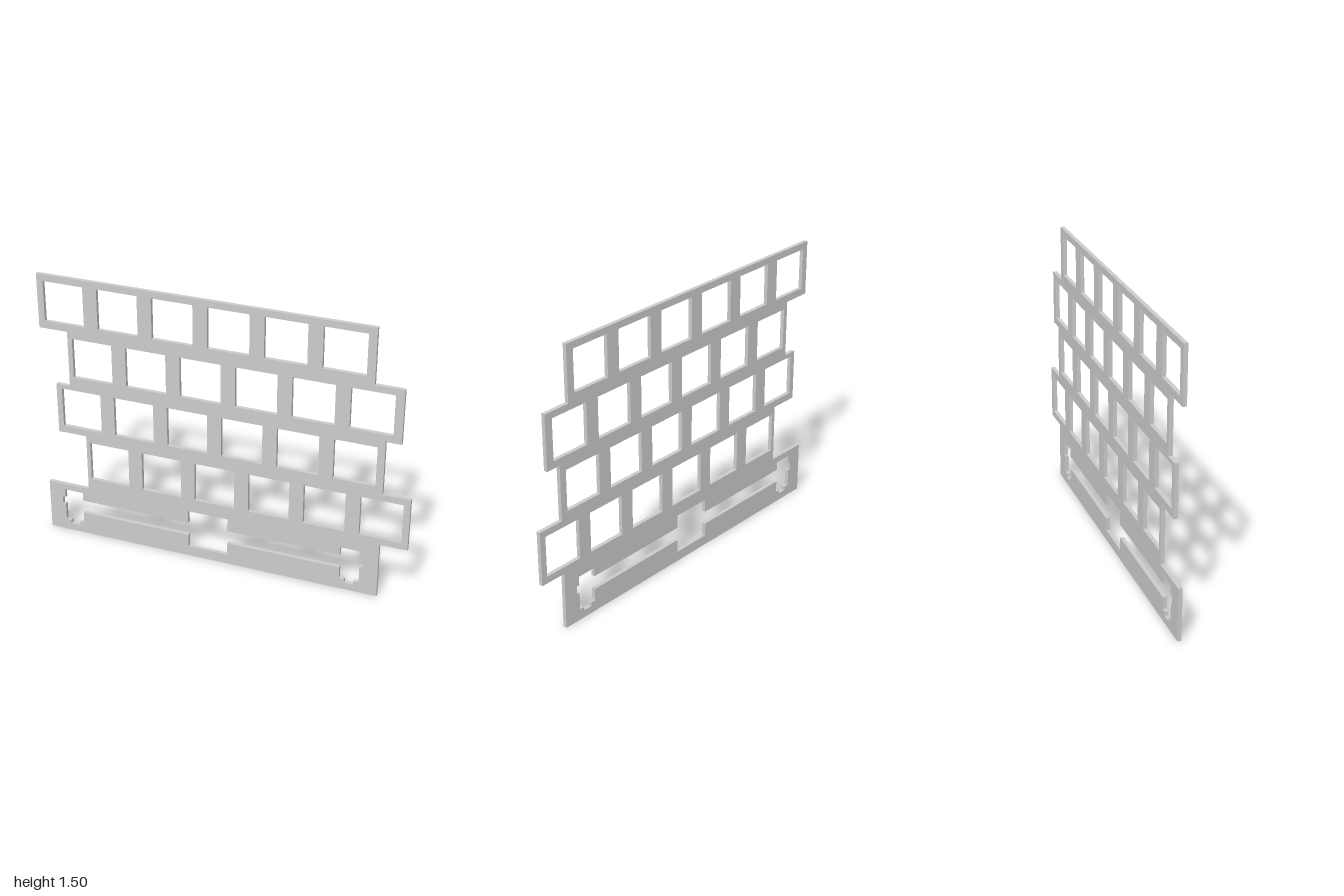
import * as THREE from 'three';

const THICKNESS = 0.021;
const PITCH = 0.2975; // distance between neighbouring key centres
const CUTOUT = 0.221; // side of a square switch cutout

// Closed path from corner points
const path = (points, Type = THREE.Path) =>
  new Type(points.map(([x, y]) => new THREE.Vector2(x, y)));

function squareHole(cx, cy) {
  const h = CUTOUT / 2;
  return path([[cx - h, cy - h], [cx - h, cy + h], [cx + h, cy + h], [cx + h, cy - h]]);
}

// Wide-key opening: centre square, connecting slot and a notched stabilizer pocket at each end
function wideKeyHole(cx, cy) {
  const h = CUTOUT / 2;
  const right = [
    [h, -h], [h, -0.038], [0.727, -0.038], [0.727, -0.105],
    [0.755, -0.105], [0.755, -0.126], [0.805, -0.126], [0.805, -0.105],
    [0.833, -0.105], [0.833, -0.008], [0.849, -0.008], [0.849, 0.035],
    [0.833, 0.035], [0.833, 0.085], [0.727, 0.085], [0.727, 0.037],
    [h, 0.037], [h, h],
  ];
  const left = right.map(([x, y]) => [-x, y]).reverse();
  return path([...right, ...left].map(([x, y]) => [x + cx, y + cy]));
}

export function createModel() {
  const group = new THREE.Group();
  group.name = 'keyboardSwitchPlate';

  // Staggered outline of the plate
  const outline = path([
    [-1, 0], [0.855, 0], [0.855, 0.315], [1, 0.315], [1, 0.61],
    [0.855, 0.61], [0.855, 0.908], [0.935, 0.908], [0.935, 1.204],
    [0.785, 1.204], [0.785, 1.502], [-1, 1.502], [-1, 1.204],
    [-0.843, 1.204], [-0.843, 0.893], [-0.922, 0.893], [-0.922, 0.61],
    [-0.764, 0.61], [-0.764, 0.286], [-1, 0.286],
  ], THREE.Shape);

  // Four rows of six switch cutouts: [first centre x, centre y]
  const rows = [[-0.855, 1.355], [-0.707, 1.058], [-0.781, 0.76], [-0.632, 0.463]];
  for (const [x, y] of rows) {
    for (let i = 0; i < 6; i++) outline.holes.push(squareHole(x + i * PITCH, y));
  }
  outline.holes.push(wideKeyHole(-0.075, 0.166));

  // Thin extruded plate, centred in depth
  const geometry = new THREE.ExtrudeGeometry(outline, { depth: THICKNESS, bevelEnabled: false });
  geometry.translate(0, 0, -THICKNESS / 2);
  const plate = new THREE.Mesh(geometry, new THREE.MeshStandardMaterial({ color: 0xcccccc }));
  plate.name = 'switchPlate';
  group.add(plate);
  return group;
}
